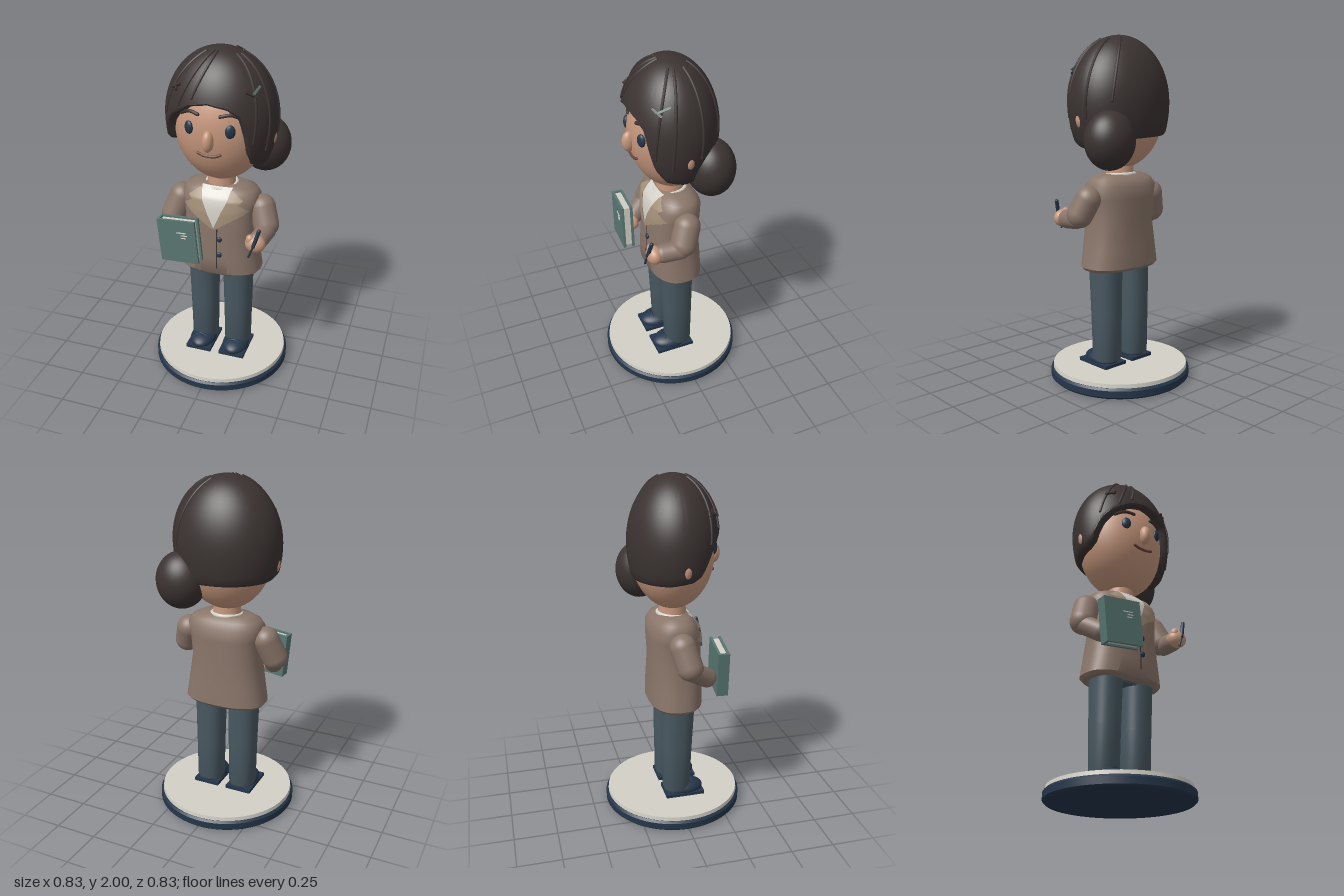
import * as THREE from 'three';
import { toCreasedNormals } from 'three/addons/utils/BufferGeometryUtils.js';

const V = (x, y, z) => new THREE.Vector3(x, y, z);
const mat = (name, color) => { const m = new THREE.MeshStandardMaterial({ color }); m.name = name; return m; };

// Skins closed rings, listed from bottom to top, and closes the ends asked for
function loft(rings, capLow = true, capHigh = true) {
  const n = rings[0].length, pts = rings.flat(), idx = [];
  for (let j = 0; j < rings.length - 1; j++) for (let i = 0; i < n; i++) {
    const k = (i + 1) % n, a = j * n + i, b = j * n + k;
    idx.push(a, b, b + n, a, b + n, a + n);
  }
  const cap = (ring, start, up) => {
    const c = pts.length;
    pts.push(ring.reduce((s, p) => s.add(p), V(0, 0, 0)).divideScalar(n));
    for (let i = 0; i < n; i++) {
      const a = start + i, b = start + (i + 1) % n;
      up ? idx.push(a, b, c) : idx.push(b, a, c);
    }
  };
  if (capLow) cap(rings[0], 0, false);
  if (capHigh) cap(rings[rings.length - 1], (rings.length - 1) * n, true);
  const g = new THREE.BufferGeometry().setFromPoints(pts);
  g.setIndex(idx);
  return toCreasedNormals(g, 0.8);
}

// Jacket sections: y, half width, front z, back z
const TORSO = [[0.665, 0.235, 0.14, -0.135], [0.682, 0.248, 0.158, -0.152], [0.78, 0.232, 0.16, -0.15],
  [0.95, 0.207, 0.155, -0.14], [1.08, 0.215, 0.152, -0.148], [1.15, 0.228, 0.138, -0.145],
  [1.19, 0.205, 0.11, -0.12], [1.217, 0.15, 0.08, -0.08]];
const POWER = 2.5;
function frontZ(x, y) {
  let i = 0;
  while (i < TORSO.length - 2 && y > TORSO[i + 1][0]) i++;
  const t = THREE.MathUtils.clamp((y - TORSO[i][0]) / (TORSO[i + 1][0] - TORSO[i][0]), 0, 1);
  const [, w, f, b] = TORSO[i].map((v, k) => v + (TORSO[i + 1][k] - v) * t);
  return (f + b) / 2 + (f - b) / 2 * Math.pow(Math.max(0, 1 - Math.pow(Math.abs(x) / w, POWER)), 1 / POWER);
}

// Thin cloth laid on the jacket front; rows run downwards as [y, x from, x to]
function drape(rows, lift) {
  const pts = [], idx = [], cols = 10, sub = 4;
  const total = (rows.length - 1) * sub;
  for (let j = 0; j <= total; j++) {
    const i = Math.min(Math.floor(j / sub), rows.length - 2), t = j / sub - i;
    const [y, a, b] = rows[i].map((v, k) => v + (rows[i + 1][k] - v) * t);
    for (let c = 0; c <= cols; c++) {
      const x = a + (b - a) * c / cols;
      pts.push(V(x, y, frontZ(x, y) + lift));
      if (j < total && c < cols) {
        const p = j * (cols + 1) + c, q = p + cols + 1;
        idx.push(q, q + 1, p + 1, q, p + 1, p);
      }
    }
  }
  const g = new THREE.BufferGeometry().setFromPoints(pts);
  g.setIndex(idx);
  g.computeVertexNormals();
  return g;
}

// Hair shell: angle is measured from the front towards +x, theta from the crown
const HAIR_Y = 1.62;
const hairPoint = (angle, theta, s = 1) => V(0.315 * s * Math.sin(theta) * Math.sin(angle),
  HAIR_Y + (Math.cos(theta) > 0 ? 0.38 : 0.45) * s * Math.cos(theta),
  0.006 + 0.259 * s * Math.sin(theta) * Math.cos(angle));
// Hairline height by angle in degrees
const HAIRLINE = [[-180, 1.43], [-110, 1.44], [-80, 1.46], [-68, 1.49], [-55, 1.6], [-42, 1.665], [-20, 1.73], [0, 1.75],
  [20, 1.73], [34, 1.685], [40, 1.58], [46, 1.47], [60, 1.39], [85, 1.37], [110, 1.38], [140, 1.42], [180, 1.43]];
function hairTheta(deg) {
  let i = 0;
  while (i < HAIRLINE.length - 2 && deg > HAIRLINE[i + 1][0]) i++;
  const [a, ya] = HAIRLINE[i], [b, yb] = HAIRLINE[i + 1];
  const d = ya + (yb - ya) * (deg - a) / (b - a) - HAIR_Y;
  return Math.acos(d / (d > 0 ? 0.38 : 0.45));
}

export function createModel() {
  const root = new THREE.Group();
  root.name = 'figurine';
  const hair = mat('dark brown hair', 0x3b3332), skin = mat('skin', 0xc6977d), jacket = mat('taupe jacket', 0x8a766a),
    tan = mat('tan lapel', 0xa39079), teal = mat('teal cover', 0x597772), slate = mat('slate trousers', 0x485861),
    navy = mat('navy', 0x25364a), cream = mat('cream', 0xd3d0c7), lip = mat('brown lip', 0x6b4338);

  const add = (name, geo, m, pos = [0, 0, 0], rot = [0, 0, 0], parent = root) => {
    const mesh = new THREE.Mesh(geo, m);
    mesh.name = name;
    mesh.position.set(...pos);
    mesh.rotation.set(...rot);
    parent.add(mesh);
    return mesh;
  };
  const ball = (name, m, pos, r, rot) => add(name, new THREE.SphereGeometry(1, 40, 28), m, pos, rot).scale.set(...r);
  const box = (name, m, size, pos, rot, parent) => add(name, new THREE.BoxGeometry(...size), m, pos, rot, parent);
  const tube = (name, m, pts, r) => {
    add(name, new THREE.TubeGeometry(new THREE.CatmullRomCurve3(pts), 24, r, 8), m);
    for (const p of [pts[0], pts[pts.length - 1]]) add(name + 'End', new THREE.SphereGeometry(r, 8, 6), m, p.toArray());
  };
  const limb = (name, m, a, b, r) => {
    const d = b.clone().sub(a);
    const mesh = add(name, new THREE.CapsuleGeometry(r, d.length(), 12, 28), m, a.clone().add(b).multiplyScalar(0.5).toArray());
    mesh.quaternion.setFromUnitVectors(V(0, 1, 0), d.normalize());
  };
  const ellipse = (y, rx, front, back, power = 2, x0 = 0, n = 56) => Array.from({ length: n }, (_, i) => {
    const a = i / n * Math.PI * 2, s = Math.sin(a), c = Math.cos(a), e = 2 / power;
    return V(x0 + rx * Math.sign(s) * Math.abs(s) ** e, y,
      (front + back) / 2 + (front - back) / 2 * Math.sign(c) * Math.abs(c) ** e);
  });

  // Stand
  const rim = [[0, 0], [0.4, 0], [0.413, 0.012], [0.413, 0.05], [0.402, 0.062], [0, 0.062]].map(p => new THREE.Vector2(...p));
  add('standRim', toCreasedNormals(new THREE.LatheGeometry(rim, 80), 0.6), navy);
  add('standTop', new THREE.CylinderGeometry(0.397, 0.4, 0.025, 80), cream, [0, 0.072, 0]);

  // Legs and shoes
  for (const s of [-1, 1]) {
    const x = s * 0.107;
    add('trouserLeg', loft([[0.115, 0.075, 0.072, -0.078], [0.13, 0.08, 0.078, -0.083], [0.4, 0.084, 0.09, -0.087],
      [0.7, 0.09, 0.106, -0.09]].map(([y, w, f, b]) => ellipse(y, w, f, b, 2.3, x, 40))), slate);
    box('shoeSole', navy, [0.16, 0.02, 0.235], [x, 0.095, 0.038]);
    ball('shoe', navy, [x, 0.115, 0.045], [0.08, 0.048, 0.116]);
    for (const z of [0.09, 0.115]) tube('shoeLace', navy,
      [V(x - 0.035, 0.15 - (z - 0.09), z), V(x, 0.163 - (z - 0.09), z), V(x + 0.035, 0.15 - (z - 0.09), z)], 0.005);
  }
  add('hips', loft([ellipse(0.655, 0.17, 0.09, -0.08), ellipse(0.7, 0.19, 0.1, -0.09)]), slate);

  // Jacket, shirt and lapels
  add('jacket', loft(TORSO.map(([y, w, f, b]) => ellipse(y, w, f, b, POWER, 0, 72))), jacket);
  add('shirt', drape([[1.217, -0.09, 0.09], [1.15, -0.075, 0.075], [0.985, -0.002, 0.002]], 0.004), cream);
  const lapel = [[1.205, 0.085, 0.1], [1.16, 0.075, 0.16], [1.135, 0.066, 0.135], [1.13, 0.064, 0.15],
    [1.095, 0.046, 0.195], [1.03, 0.02, 0.085], [0.98, -0.002, 0.01]];
  add('leftLapel', drape(lapel, 0.009), tan);
  add('rightLapel', drape(lapel.map(([y, a, b]) => [y, -b, -a]), 0.009), tan);
  add('frontSeam', drape([[0.98, 0.017, 0.024], [0.72, 0.017, 0.024]], 0.004), hair);
  for (const y of [0.915, 0.815]) ball('button', navy, [0.035, y, frontZ(0.035, y) + 0.004], [0.017, 0.017, 0.009]);
  add('shirtCollar', new THREE.TorusGeometry(0.087, 0.012, 12, 48), cream, [0, 1.208, 0.003], [Math.PI / 2 + 0.08, 0, 0]);
  add('neck', new THREE.CylinderGeometry(0.075, 0.082, 0.13, 40), skin, [0, 1.25, 0]);

  // Arms and hands
  limb('leftUpperArm', jacket, V(0.245, 1.085, 0), V(0.277, 0.995, 0.035), 0.075);
  limb('leftForearm', jacket, V(0.287, 0.968, 0.055), V(0.268, 0.957, 0.155), 0.055);
  ball('leftHand', skin, [0.262, 0.957, 0.205], [0.058, 0.052, 0.045]);
  ball('leftThumb', skin, [0.235, 0.985, 0.215], [0.024, 0.03, 0.024]);
  limb('rightUpperArm', jacket, V(-0.245, 1.085, 0), V(-0.287, 0.975, 0.03), 0.075);
  limb('rightForearm', jacket, V(-0.285, 0.945, 0.05), V(-0.24, 0.885, 0.14), 0.056);
  ball('rightHand', skin, [-0.2, 0.865, 0.17], [0.055, 0.045, 0.04]);

  // Pen
  limb('pen', navy, V(0.262, 0.96, 0.245), V(0.289, 1.055, 0.23), 0.011);
  limb('penTip', navy, V(0.237, 0.893, 0.252), V(0.262, 0.96, 0.245), 0.006);

  // Book with spine on the outer side
  const book = new THREE.Group();
  book.name = 'book';
  book.position.set(-0.175, 0.922, 0.232);
  book.rotation.set(0, -0.08, 0.095);
  root.add(book);
  for (const z of [-0.026, 0.026]) box('bookCover', teal, [0.232, 0.265, 0.014], [0, 0, z], undefined, book);
  box('bookSpine', teal, [0.016, 0.265, 0.066], [-0.11, 0, 0], undefined, book);
  box('pages', cream, [0.21, 0.245, 0.042], [-0.002, 0, 0], undefined, book);
  [[0.03, 0.058, 0.06], [0.045, 0.042, 0.04], [0.04, 0.026, 0.03]].forEach(([x, y, w]) =>
    box('coverMark', cream, [w, 0.005, 0.006], [x, y, 0.034], undefined, book));

  // Head and face
  ball('head', skin, [0, 1.57, 0], [0.263, 0.325, 0.235]);
  ball('nose', skin, [0, 1.548, 0.24], [0.032, 0.06, 0.038]);
  const faceZ = (x, y) => 0.235 * Math.sqrt(1 - (x / 0.263) ** 2 - ((y - 1.57) / 0.325) ** 2);
  const onFace = (x, y) => V(x, y, faceZ(x, y) + 0.004);
  for (const s of [-1, 1]) {
    ball('eye', navy, [s * 0.115, 1.605, faceZ(0.115, 1.605)], [0.028, 0.037, 0.016], [0, s * 0.45, 0]);
    tube('eyebrow', hair, [onFace(s * 0.062, 1.685), onFace(s * 0.115, 1.692), onFace(s * 0.17, 1.668)], 0.01);
    ball('ear', skin, [s * 0.268, 1.53, 0.01], [0.046, 0.06, 0.035]);
  }
  tube('mouth', lip, [onFace(-0.062, 1.47), onFace(-0.03, 1.459), onFace(0.03, 1.459), onFace(0.062, 1.47)], 0.008);

  // Hair cap, its underside turned in to the head
  const N = 120, ROWS = 24;
  const hairRing = (t, s) => Array.from({ length: N }, (_, i) => {
    const deg = -180 + i / N * 360, p = hairPoint(deg * Math.PI / 180, hairTheta(deg) * t);
    return V(p.x * s, p.y, p.z * s);
  });
  const rings = [hairRing(1, 0.74), hairRing(1, 0.97)];
  for (let k = 0; k < ROWS; k++) rings.push(hairRing(0.98 * (1 - k / ROWS), 1));
  add('hairCap', loft(rings, false, true), hair);
  ball('hairBun', hair, [0.212, 1.42, -0.147], [0.148, 0.165, 0.136]);

  // Raised strands: start angle, end angle, start theta, end theta (degrees)
  [[145, 135, 20, 88], [109, 103, 22, 100], [75, 68, 23, 108], [59, 48, 22, 100],
    [-40, -57, 18, 84], [-14, -34, 15, 74], [0, -18, 15, 66]].forEach(([a, b, t0, t1]) => {
    const pts = Array.from({ length: 8 }, (_, i) => hairPoint(THREE.MathUtils.degToRad(a + (b - a) * i / 7),
      THREE.MathUtils.degToRad(t0 + (t1 - t0) * i / 7)));
    tube('hairStrand', hair, pts, 0.008);
  });

  // Hair pins
  const pin = (name, m, deg, theta, lean) => {
    const p = hairPoint(deg, theta, 1.01);
    const mesh = box(name, m, [0.07, 0.012, 0.012], p.toArray());
    mesh.lookAt(hairPoint(deg, theta, 2));
    mesh.rotateZ(lean);
  };
  pin('tealPin', teal, 1.0, 1.03, 0.45);
  pin('leftPin', hair, 0.85, 1.08, -0.6);
  pin('rightPin', hair, -0.8, 1.05, 0.6);
  pin('rightPinCross', hair, -0.8, 1.05, -0.5);

  return root;
}
